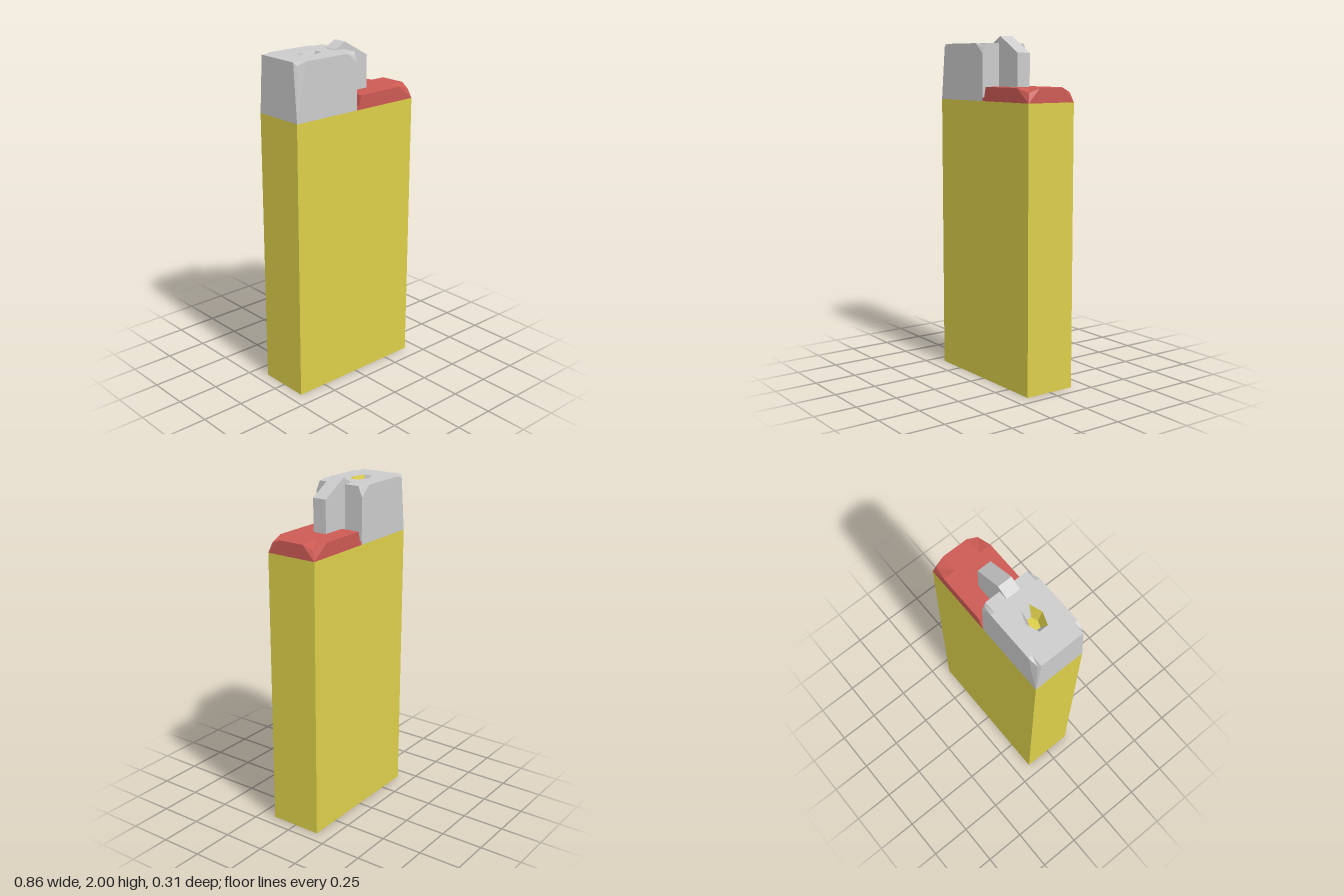
import * as THREE from 'three';

const paint = (color) => new THREE.MeshStandardMaterial({ color, flatShading: true, side: THREE.DoubleSide });
const X = 0.43, Z = 0.157, BASE = 1.634;

function mesh(name, geometry, material) {
  const m = new THREE.Mesh(geometry, material);
  m.name = name;
  return m;
}

// Triangles of convex polygons, each turned to face away from (or towards) a centre point
function facets(polygons, centre, inward = false) {
  const out = [];
  const tri = new THREE.Triangle(), n = new THREE.Vector3(), mid = new THREE.Vector3();
  for (const p of polygons) {
    for (let i = 1; i < p.length - 1; i++) {
      tri.set(p[0], p[i], p[i + 1]);
      if (tri.getArea() < 1e-8) continue;
      tri.getNormal(n);
      const outward = n.dot(tri.getMidpoint(mid).sub(centre)) > 0;
      const order = outward !== inward ? [0, i, i + 1] : [0, i + 1, i];
      order.forEach((k) => out.push(...p[k].toArray()));
    }
  }
  const g = new THREE.BufferGeometry();
  g.setAttribute('position', new THREE.Float32BufferAttribute(out, 3));
  g.computeVertexNormals();
  return g;
}

// Profile in x/y extruded symmetrically along z
function slab(points, depth) {
  const shape = new THREE.Shape(points.map(([x, y]) => new THREE.Vector2(x, y)));
  return new THREE.ExtrudeGeometry(shape, { depth, bevelEnabled: false }).translate(0, 0, -depth / 2);
}

// Block whose top corners are cut in facets. Each end: x, cut along x and z, foot height of the cut,
// and the inset and drop of the cut's middle point
function cutBlock(name, ends, top, material, hole) {
  const group = new THREE.Group();
  group.name = name;
  const v = (x, y, z) => new THREE.Vector3(x, y, z);
  const corner = (e, dir, s) => ({
    base: v(e.x, BASE, s * Z),
    foot: v(e.x, e.foot, s * Z),
    end: v(e.x, top, s * (Z - e.cz)),
    side: v(e.x - dir * e.cx, top, s * Z),
    inner: v(e.x - dir * e.cx, top, s * (Z - e.cz)),
    mid: v(e.x - dir * e.mx, top - e.drop, s * (Z - e.mz)),
  });
  const [l, r] = [[ends[0], -1], [ends[1], 1]].map(([e, d]) => ({ p: corner(e, d, 1), m: corner(e, d, -1) }));
  const polygons = [];
  for (const k of ['p', 'm']) {
    const a = l[k], b = r[k];
    polygons.push([a.base, a.foot, a.side, b.side, b.foot, b.base]);
    for (const c of [a, b]) {
      polygons.push([c.foot, c.side, c.mid], [c.foot, c.mid, c.end],
        [c.inner, c.mid, c.side], [c.inner, c.end, c.mid]);
    }
  }
  for (const e of [l, r]) polygons.push([e.p.base, e.p.foot, e.p.end, e.m.end, e.m.foot, e.m.base]);
  const centre = v((ends[0].x + ends[1].x) / 2, (BASE + top) / 2, 0);
  group.add(mesh(name + 'Sides', facets(polygons, centre), material));

  const outline = [l.p.end, l.p.inner, l.p.side, r.p.side, r.p.inner, r.p.end,
    r.m.end, r.m.inner, r.m.side, l.m.side, l.m.inner, l.m.end]
    .filter((p, i, a) => p.distanceTo(a[(i + 1) % a.length]) > 1e-6);
  const shape = new THREE.Shape(outline.map((p) => new THREE.Vector2(p.x, -p.z)));
  if (hole) shape.holes.push(new THREE.Path(hole.map(([x, z]) => new THREE.Vector2(x, -z))));
  group.add(mesh(name + 'Top', new THREE.ShapeGeometry(shape).rotateX(-Math.PI / 2).translate(0, top, 0), material));
  return group;
}

export function createModel() {
  const yellow = paint(0xdccf4a), red = paint(0xcc5a53), grey = paint(0xcccccc);
  const model = new THREE.Group();
  model.name = 'lighter';

  // Fuel body
  model.add(mesh('body', new THREE.BoxGeometry(2 * X, BASE, 2 * Z).translate(0, BASE / 2, 0), yellow));

  // Metal hood with a six-sided flame opening
  const hoodTop = 1.96, cx = -0.216;
  const hole = [[0, -0.053], [0.072, -0.027], [0.072, 0.027], [0, 0.053], [-0.072, 0.027], [-0.072, -0.027]]
    .map(([x, z]) => [cx + x, z]);
  model.add(cutBlock('hood', [
    { x: -X, cx: 0.07, cz: 0.024, foot: BASE, mx: 0.015, mz: 0.012, drop: 0.02 },
    { x: 0, cx: 0.07, cz: 0.024, foot: 1.9, mx: 0.008, mz: 0.012, drop: 0.02 },
  ], hoodTop, grey, hole));

  // Funnel inside the opening, coloured on its front half and floor
  const rim = hole.map(([x, z]) => new THREE.Vector3(x, hoodTop, z));
  const low = hole.map(([x, z]) => new THREE.Vector3(cx + (x - cx) * 0.5, 1.88, z * 0.5));
  const walls = rim.map((p, i) => [p, rim[(i + 1) % 6], low[(i + 1) % 6], low[i]]);
  const centre = new THREE.Vector3(cx, 1.94, 0);
  model.add(mesh('nozzleFront', facets([walls[2], walls[3], low], centre, true), yellow));
  model.add(mesh('nozzleBack', facets([walls[0], walls[1], walls[4], walls[5]], centre, true), grey));

  // Red shoulder plate and the groove next to the hood
  const plateTop = 1.715;
  model.add(cutBlock('shoulder', [
    { x: 0.03, cx: 0, cz: 0, foot: plateTop, mx: 0, mz: 0, drop: 0 },
    { x: X, cx: 0.105, cz: 0.077, foot: BASE, mx: 0.017, mz: 0.017, drop: 0.025 },
  ], plateTop, red));
  model.add(mesh('groove', slab([[0, BASE], [0.03, BASE], [0.03, plateTop], [0.015, 1.655], [0, 1.655]], 2 * Z), red));

  // Thumb lever
  model.add(mesh('lever', slab([[-0.055, 1.7], [0.178, 1.7], [0.178, 1.905], [0.012, 2], [-0.055, 1.962]], 0.085), grey));

  return model;
}
